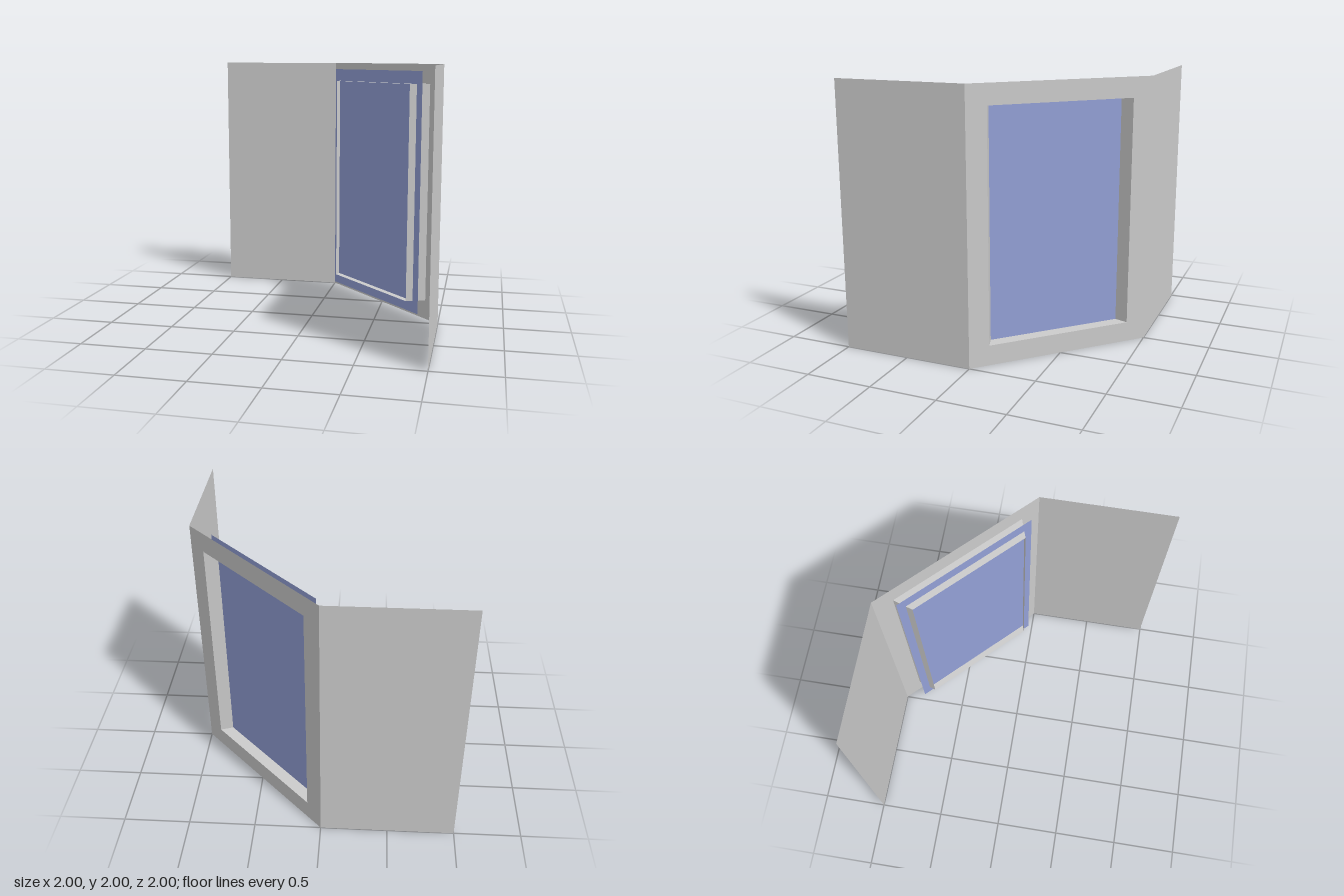
import * as THREE from 'three';

const grey = new THREE.MeshStandardMaterial({ color: 0xcccccc, side: THREE.DoubleSide, flatShading: true });
const blue = new THREE.MeshStandardMaterial({ color: 0x93a0d6, side: THREE.DoubleSide, flatShading: true });

function part(name, geometry, material = grey) {
  const mesh = new THREE.Mesh(geometry, material);
  mesh.name = name;
  return mesh;
}

// Rectangle as a list of corners, counterclockwise
const rect = (halfWidth, y0, y1) => [
  [-halfWidth, y0], [halfWidth, y0], [halfWidth, y1], [-halfWidth, y1],
];

// Four faces joining the wall opening to a narrower inner rectangle
function revealGeometry(outer, inner, depth) {
  const positions = [];
  for (let i = 0; i < 4; i++) {
    const j = (i + 1) % 4;
    const a = [...outer[i], 0], b = [...outer[j], 0];
    const c = [...inner[j], depth], d = [...inner[i], depth];
    positions.push(...a, ...c, ...b, ...a, ...d, ...c);
  }
  const geometry = new THREE.BufferGeometry();
  geometry.setAttribute('position', new THREE.Float32BufferAttribute(positions, 3));
  geometry.computeVertexNormals();
  return geometry;
}

export function createModel() {
  const model = new THREE.Group();
  model.name = 'cornerWindow';

  // Plain walls on either side of the diagonal
  const backWall = part('backWall', new THREE.PlaneGeometry(1, 2));
  backWall.position.set(-0.5, 1, -1);
  const sideWall = part('sideWall', new THREE.PlaneGeometry(1, 2));
  sideWall.rotation.y = -Math.PI / 2;
  sideWall.position.set(1, 1, 0.5);
  model.add(backWall, sideWall);

  // Diagonal bay: local x runs along the wall, local z points into the room
  const bay = new THREE.Group();
  bay.name = 'windowBay';
  bay.position.set(0.5, 0, -0.5);
  bay.rotation.y = -Math.PI / 4;
  model.add(bay);

  // Wall with the window opening
  const toPoints = (corners) => corners.map(([x, y]) => new THREE.Vector2(x, y));
  const outer = rect(0.555, 0.15, 1.85);
  const wall = new THREE.Shape(toPoints(rect(Math.SQRT1_2, 0, 2)));
  wall.holes.push(new THREE.Path(toPoints(outer).reverse()));
  bay.add(part('windowWall', new THREE.ShapeGeometry(wall)));

  // Tapered reveal around the opening
  const inner = rect(0.485, 0.15, 1.85);
  bay.add(part('windowReveal', revealGeometry(outer, inner, 0.141)));

  // Pane, larger than the reveal it passes through
  const pane = part('windowPane', new THREE.PlaneGeometry(1.146, 1.89), blue);
  pane.position.set(0, 1.003, 0.092);
  bay.add(pane);

  return model;
}
